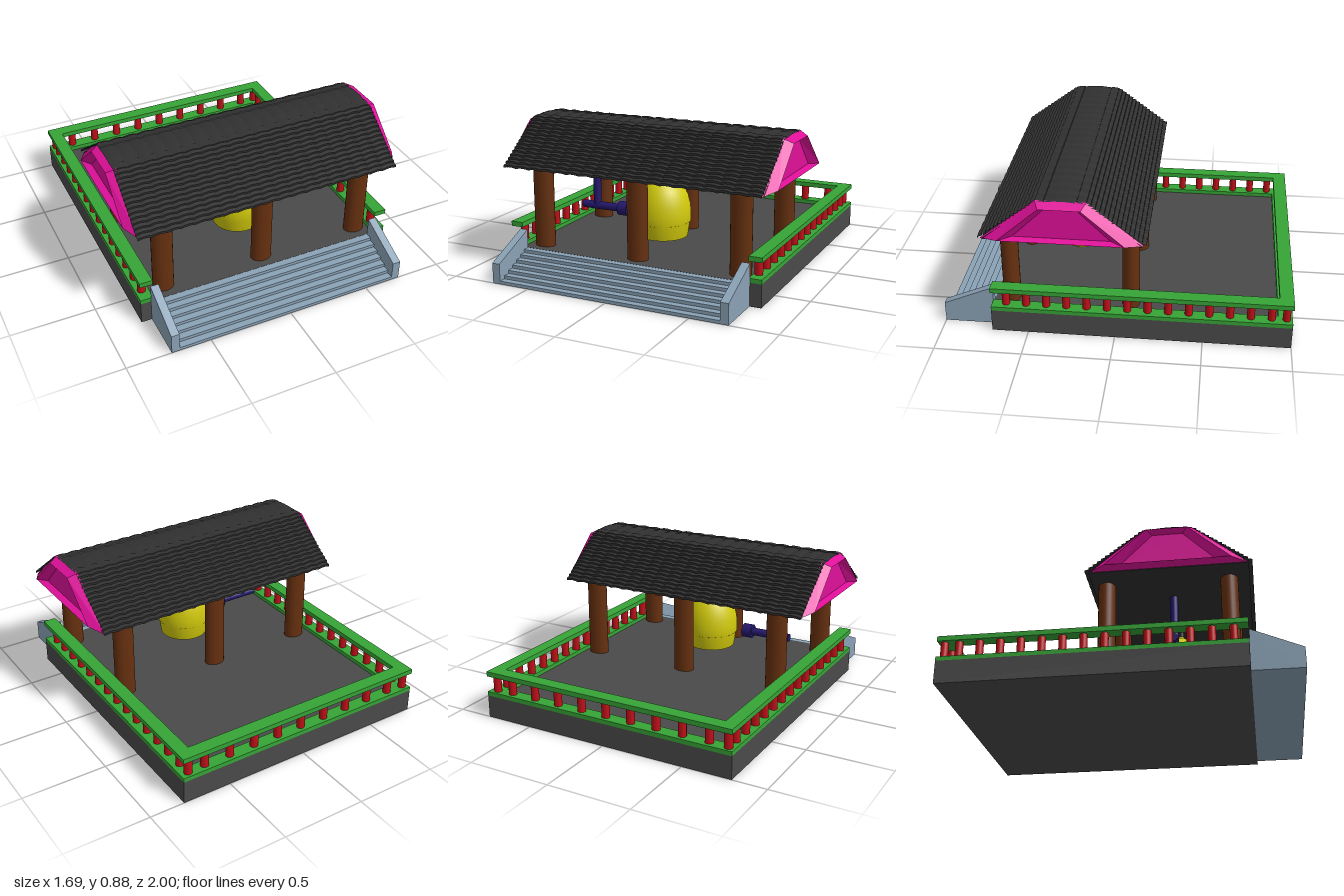
import * as THREE from 'three';

const mat = (color, extra = {}) => new THREE.MeshStandardMaterial({ color, ...extra });
const stone = mat(0x4a4a4a), green = mat(0x36a436), red = mat(0xc01018), wood = mat(0x66300f);
const paleStone = mat(0x8aa2b6), navy = mat(0x23176b);
const yellow = mat(0xd2ca0c, { side: THREE.DoubleSide });
const pink = mat(0xe0109a, { flatShading: true, side: THREE.DoubleSide });
const tile = mat(0x303030, { flatShading: true, side: THREE.DoubleSide });
const CZ = 0.285; // centre line of the roof, bell and striker

export function createModel() {
  const model = new THREE.Group();

  const add = (name, geometry, material, x = 0, y = 0, z = 0, parent = model) => {
    const mesh = new THREE.Mesh(geometry, material);
    mesh.name = name;
    mesh.position.set(x, y, z);
    parent.add(mesh);
    return mesh;
  };
  const box = (name, material, x0, x1, y0, y1, z0, z1) =>
    add(name, new THREE.BoxGeometry(x1 - x0, y1 - y0, z1 - z0), material,
      (x0 + x1) / 2, (y0 + y1) / 2, (z0 + z1) / 2);
  // upright column with an oval section
  const column = (name, material, rx, rz, x, y0, y1, z) =>
    add(name, new THREE.CylinderGeometry(1, 1, y1 - y0, 24).scale(rx, 1, rz), material, x, (y0 + y1) / 2, z);
  // [z, y] outline extruded along x
  const extrudeX = (points, x0, x1) => {
    const shape = new THREE.Shape(points.map(([z, y]) => new THREE.Vector2(-z, y)));
    return new THREE.ExtrudeGeometry(shape, { depth: x1 - x0, bevelEnabled: false })
      .rotateY(Math.PI / 2).translate(x0, 0, 0);
  };

  // platform
  box('platform', stone, -0.797, 0.793, 0, 0.135, -1, 0.71);

  // railing: lower and upper rails on both sides and the back
  for (const [label, y0, y1] of [['lower', 0.135, 0.16], ['upper', 0.255, 0.284]]) {
    box(label + 'RailRight', green, -0.797, -0.72, y0, y1, -1, 0.71);
    box(label + 'RailLeft', green, 0.716, 0.793, y0, y1, -1, 0.71);
    box(label + 'RailBack', green, -0.72, 0.716, y0, y1, -1, -0.92);
  }
  const baluster = (x, z) => column('baluster', red, 0.024, 0.022, x, 0.155, 0.26, z);
  for (const x of [-0.76, 0.745]) {
    for (let i = 0; i < 14; i++) baluster(x, 0.63 - i * 0.1163);
    baluster(x, -0.965);
  }
  for (let i = -4; i <= 4; i++) baluster(i * 0.1605 - 0.003, -0.96);

  // stairs between two sloping side walls
  const steps = 7, outline = [[0.7, 0], [1, 0]];
  for (let i = 0; i < steps; i++) {
    const y = (i + 1) * 0.134 / steps;
    outline.push([1 - i * 0.29 / steps, y], [1 - (i + 1) * 0.29 / steps, y]);
  }
  outline.push([0.7, 0.134]);
  add('stairs', extrudeX(outline, -0.69, 0.68), paleStone);
  for (const [x0, x1] of [[-0.735, -0.687], [0.677, 0.725]]) {
    add('stairWall', extrudeX([[0.71, 0], [1, 0], [1, 0.12], [0.71, 0.245]], x0, x1), paleStone);
  }

  // pillars
  for (const x of [-0.622, 0, 0.635]) {
    for (const z of [0.615, -0.08]) column('pillar', wood, 0.063, 0.05, x, 0.13, 0.63, z);
  }

  // bell: tapered skirt, dome and hanger
  const skirt = [[0.138, 0.19], [0.147, 0.19], [0.16, 0.278]];
  const dome = [[0.16, 0.278], [0.165, 0.282], [0.167, 0.33], [0.162, 0.385], [0.149, 0.435], [0.128, 0.48],
    [0.1, 0.517], [0.065, 0.543], [0.028, 0.556]];
  const cap = [[0.03, 0.556], [0.026, 0.568], [0.014, 0.582], [0, 0.582]];
  const bell = new THREE.Group();
  bell.name = 'bell';
  bell.position.set(0, 0, CZ);
  model.add(bell);
  [['bellSkirt', skirt], ['bellDome', dome], ['bellCap', cap]].forEach(([name, pts]) =>
    add(name, new THREE.LatheGeometry(pts.map(p => new THREE.Vector2(...p)), 40), yellow, 0, 0, 0, bell));
  add('bellHanger', new THREE.CylinderGeometry(0.018, 0.018, 0.06, 16), mat(0x222222), 0, 0.6, 0, bell);

  // striker: hanging post, beam and head
  column('strikerPost', navy, 0.024, 0.024, -0.452, 0.315, 0.63, CZ);
  const beam = (name, r, x0, x1) =>
    add(name, new THREE.CylinderGeometry(r, r, x1 - x0, 24).rotateZ(Math.PI / 2), navy, (x0 + x1) / 2, 0.317, CZ);
  beam('strikerBeam', 0.024, -0.547, -0.29);
  beam('strikerHead', 0.043, -0.297, -0.235);

  // roof core closes the underside
  add('roofCore', extrudeX([[0.73, 0.618], [CZ + 0.14, 0.855], [CZ - 0.14, 0.855], [-0.16, 0.618]], -0.8, 0.8), tile);

  // tile courses: a lapped profile from the front eave over the ridge to the back eave
  const rows = 14, half = [];
  for (let i = 0; i < rows; i++) {
    const z0 = 0.464 - i * 0.324 / rows, y0 = 0.618 + i * 0.24 / rows;
    half.push([z0, y0], [z0 + 0.001, y0 + 0.014], [z0 - 0.022, y0 + 0.02]);
  }
  half.push([0.14, 0.866], [0.09, 0.872], [0.088, 0.868], [0.03, 0.874]);
  const profile = [...half, ...half.map(([z, y]) => [-z, y]).reverse()];
  const nx = 152, roof = new THREE.PlaneGeometry(1, 1, nx, profile.length - 1);
  const pos = roof.attributes.position;
  for (let i = 0; i < pos.count; i++) {
    const col = i % (nx + 1), [z, y] = profile[Math.floor(i / (nx + 1))];
    const wave = 0.006 * Math.abs(Math.sin(col / nx * Math.PI * 19));
    pos.setXYZ(i, -0.808 + col / nx * 1.608, y + wave, CZ - z);
  }
  // profile runs back to front, so the outer side faces up
  roof.computeVertexNormals();
  add('roofTiles', roof, tile);

  // gable ends: bevelled frame around a recessed panel, lofted from trapezoid rings
  const trapezoid = (x, bottom, top, y0, y1) =>
    [[x, y0, bottom], [x, y0, -bottom], [x, y1, -top], [x, y1, top]];
  const rings = [
    trapezoid(0.79, 0.455, 0.14, 0.618, 0.872),
    trapezoid(0.847, 0.35, 0.115, 0.638, 0.845),
    trapezoid(0.805, 0.27, 0.085, 0.648, 0.83),
  ];
  const verts = rings.flat(2), index = [];
  for (let r = 0; r < 2; r++) {
    for (let k = 0; k < 4; k++) {
      const a = r * 4 + k, b = r * 4 + (k + 1) % 4;
      index.push(a, b, b + 4, a, b + 4, a + 4);
    }
  }
  index.push(8, 9, 10, 8, 10, 11);
  const gable = new THREE.BufferGeometry();
  gable.setAttribute('position', new THREE.Float32BufferAttribute(verts, 3));
  gable.setIndex(index);
  gable.computeVertexNormals();
  add('gableLeft', gable, pink, 0, 0, CZ);
  add('gableRight', gable, pink, 0, 0, CZ).rotation.y = Math.PI;

  return model;
}
